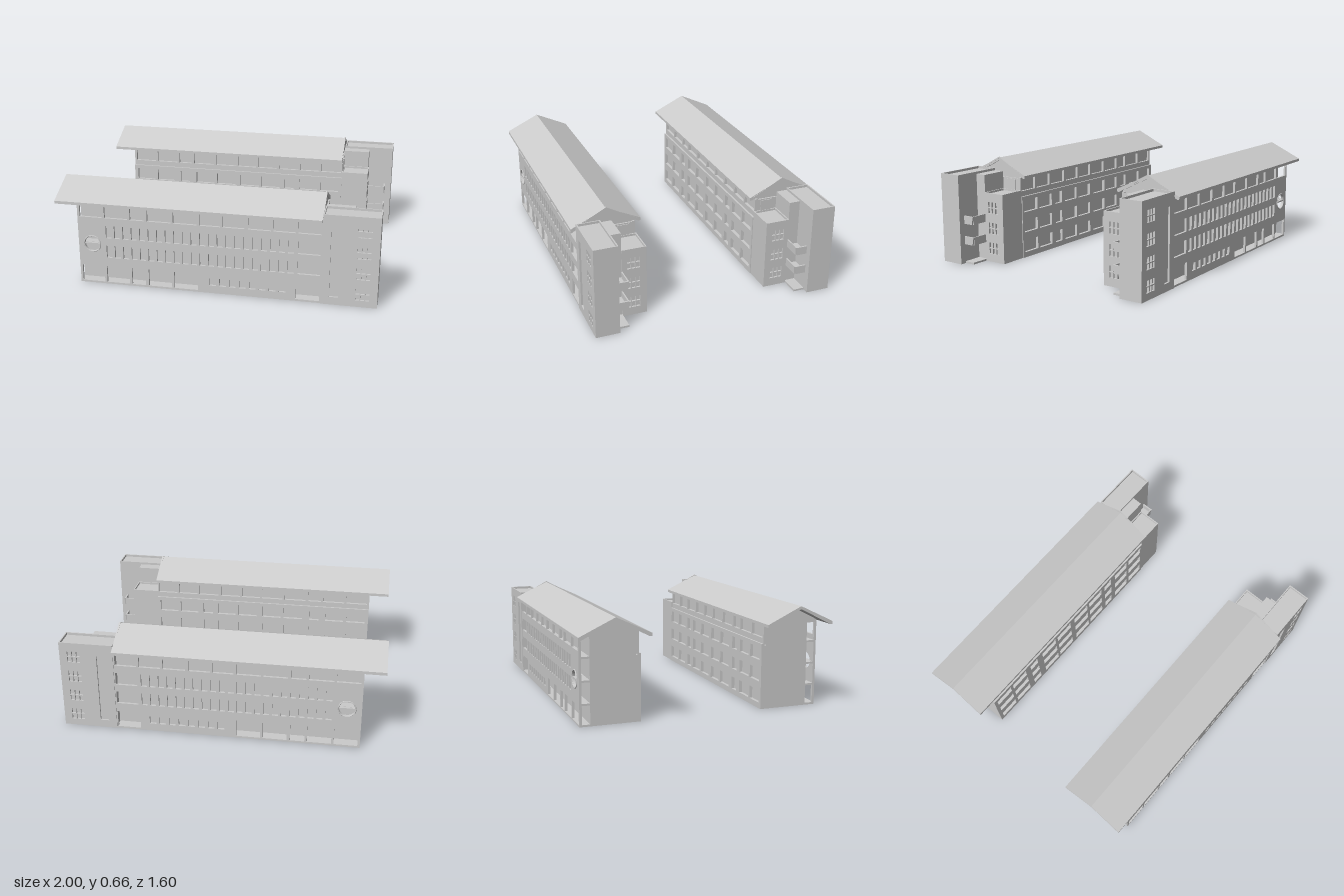
import * as THREE from 'three';

const material = new THREE.MeshStandardMaterial({ color: 0xcccccc, flatShading: true });

// Axis-aligned block given by its limits
function block(name, x0, x1, y0, y1, z0, z1) {
  const g = new THREE.BoxGeometry(x1 - x0, y1 - y0, z1 - z0);
  g.translate((x0 + x1) / 2, (y0 + y1) / 2, (z0 + z1) / 2);
  return named(name, g);
}

function named(name, geometry) {
  const mesh = new THREE.Mesh(geometry, material);
  mesh.name = name;
  return mesh;
}

function rectPath(x0, x1, y0, y1, Type = THREE.Path) {
  return new Type([[x0, y0], [x1, y0], [x1, y1], [x0, y1]].map(p => new THREE.Vector2(...p)));
}

// Wall in the xy plane between z0 and z1; holes are [x0, x1, y0, y1] or paths
function wall(name, x0, x1, y0, y1, z0, z1, holes) {
  const shape = rectPath(x0, x1, y0, y1, THREE.Shape);
  shape.holes = holes.map(h => (Array.isArray(h) ? rectPath(...h) : h));
  const g = new THREE.ExtrudeGeometry(shape, { depth: z1 - z0, bevelEnabled: false, curveSegments: 16 });
  g.translate(0, 0, z0);
  return named(name, g);
}

// Profile of [z, y] points extruded along x
function prism(name, points, x0, x1) {
  const shape = new THREE.Shape(points.map(([z, y]) => new THREE.Vector2(-z, y)));
  const g = new THREE.ExtrudeGeometry(shape, { depth: x1 - x0, bevelEnabled: false });
  g.rotateY(Math.PI / 2);
  g.translate(x0, 0, 0);
  return named(name, g);
}

// Six small panes, three wide and two high, around a centre
function panes(cx, cy) {
  const out = [];
  for (let i = -1; i <= 1; i++) {
    for (const j of [-1, 1]) {
      const x = cx + i * 0.029, y = cy + j * 0.02;
      out.push([x - 0.012, x + 0.012, y - 0.017, y + 0.017]);
    }
  }
  return out;
}

// Half-disc opening; s = 1 upper, s = -1 lower
function halfDisc(cx, cy, r, s) {
  const pts = [];
  for (let i = 0; i <= 16; i++) {
    const a = (Math.PI * (0.03 + 0.94 * i / 16)) * s;
    pts.push(new THREE.Vector2(cx + r * Math.cos(a), cy + r * Math.sin(a)));
  }
  return new THREE.Path(pts);
}

// Low parapet around a flat roof
function parapet(name, x0, x1, z0, z1, y0, y1) {
  const t = 0.008, group = new THREE.Group();
  group.name = name;
  group.add(
    block('parapetSide', x0, x1, y0, y1, z0, z0 + t), block('parapetSide', x0, x1, y0, y1, z1 - t, z1),
    block('parapetEnd', x0, x0 + t, y0, y1, z0 + t, z1 - t), block('parapetEnd', x1 - t, x1, y0, y1, z0 + t, z1 - t));
  return group;
}

function createBuilding() {
  const b = new THREE.Group();
  b.name = 'building';
  const L = -0.87, R = 0.66;

  // Rooms and the open gallery floors in front of them
  b.add(block('roomCore', L, R, 0, 0.4, 0.41, 0.7));
  b.add(block('topStoreyCore', L, R, 0.4, 0.53, 0.42, 0.7));
  [[0, 0.012], [0.125, 0.137], [0.262, 0.274], [0.4, 0.412], [0.525, 0.535]].forEach(([y0, y1]) =>
    b.add(block('gallerySlab', L, R, y0, y1, 0.7, 0.75)));

  // Street facade with its rows of openings
  const bays = [[-0.855, -0.71], [-0.695, -0.545], [-0.53, -0.44], [-0.42, -0.27], [-0.255, -0.105],
    [-0.09, 0.04], [0.055, 0.19], [0.21, 0.35], [0.365, 0.5], [0.515, 0.652]];
  const topBays = bays.map(([a, c]) => [a, c, 0.445, 0.525]);
  const street = [...topBays, ...bays.slice(0, 5).map(([a, c]) => [a, c, 0.012, 0.122]),
    [0.505, 0.652, 0.012, 0.122]];
  for (const [y0, y1] of [[0.18, 0.262], [0.312, 0.395]]) {
    for (let i = 0; i < 22; i++) {
      const x = -0.69 + i * 0.0545;
      street.push([x, x + 0.037, y0, y1]);
    }
    street.push([0.515, 0.652, y0, y1]);
  }
  for (let i = 0; i < 8; i++) street.push([-0.03 + i * 0.062, 0.012 + i * 0.062, 0.05, 0.1]);
  street.push(halfDisc(-0.78, 0.268, 0.05, 1), halfDisc(-0.78, 0.268, 0.05, -1));
  b.add(wall('streetFacade', L, R, 0, 0.535, 0.75, 0.765, street));
  const rim = new THREE.TorusGeometry(0.053, 0.004, 6, 32);
  rim.translate(-0.78, 0.268, 0.766);
  b.add(named('roundWindowRim', rim));

  // Courtyard facade: pairs of wide windows with narrow ones between
  const court = [];
  const columns = [[-0.845, -0.715], [-0.695, -0.565], [-0.52, -0.45], [-0.4, -0.265], [-0.245, -0.11],
    [-0.07, 0.065], [0.085, 0.215], [0.25, 0.32], [0.36, 0.49], [0.51, 0.64]];
  for (const y of [0.035, 0.17, 0.305]) for (const [a, c] of columns) court.push([a, c, y, y + 0.08]);
  b.add(wall('courtyardFacade', L, R, 0, 0.41, 0.39, 0.41, court));
  b.add(wall('courtyardTopStorey', L, R, 0.41, 0.535, 0.402, 0.42, topBays));

  // Pitched roof, attic and raised verge
  const mid = 0.5825;
  b.add(prism('roof', [[0.365, 0.532], [0.365, 0.55], [mid, 0.652], [0.8, 0.55], [0.8, 0.532],
    [0.785, 0.532], [mid, 0.634], [0.38, 0.532]], -1, R));
  b.add(prism('attic', [[0.402, 0.53], [0.402, 0.546], [mid, 0.636], [0.763, 0.546], [0.763, 0.53]], L, 0.65));
  b.add(prism('roofVerge', [[0.39, 0.555], [mid, 0.657], [0.775, 0.555], [0.775, 0.545],
    [mid, 0.645], [0.39, 0.545]], 0.652, 0.662));

  // Tall end tower with slot and small windows on the street side
  const towerHoles = [[0.71, 0.765, 0.05, 0.5]];
  for (const y of [0.08, 0.215, 0.35, 0.485]) towerHoles.push(...panes(0.91, y));
  b.add(block('tower', R, 1, 0, 0.565, 0.62, 0.758));
  b.add(wall('towerFace', R, 1, 0, 0.565, 0.758, 0.77, towerHoles));
  b.add(parapet('towerParapet', R, 1, 0.62, 0.77, 0.565, 0.58));

  // Lower stair block with windows on its end
  b.add(block('stairBlock', R, 0.83, 0, 0.44, 0.395, 0.55));
  const face = wall('stairBlockFace', -0.55, -0.395, 0, 0.44, 0.83, 0.842,
    [0.09, 0.222, 0.357].flatMap(y => panes(-0.478, y)));
  face.geometry.rotateY(Math.PI / 2);
  b.add(face);
  b.add(parapet('stairBlockParapet', R, 0.842, 0.395, 0.55, 0.44, 0.453));
  b.add(block('roofDoor', R, 0.665, 0.44, 0.522, 0.44, 0.515));

  // Connector with flared balconies between tower and stair block
  b.add(block('connector', R, 0.835, 0, 0.565, 0.55, 0.62));
  b.add(block('entranceStep', 0.835, 0.96, 0, 0.012, 0.55, 0.62));
  for (const y of [0.125, 0.26]) {
    b.add(block('balconyFloor', 0.835, 0.95, y, y + 0.012, 0.55, 0.62));
    const shape = [[0.555, y], [0.545, y + 0.052], [0.62, y + 0.052], [0.62, y]];
    b.add(prism('balconyFront', shape, 0.95, 0.96));
    b.add(block('balconySide', 0.842, 0.95, y, y + 0.052, 0.547, 0.555));
  }
  return b;
}

// Copy reflected in z with the winding restored
function mirrored(source) {
  const copy = source.clone(true);
  copy.traverse(o => {
    if (!o.isMesh) return;
    const g = o.geometry.index ? o.geometry.toNonIndexed() : o.geometry.clone();
    const p = g.attributes.position, v = [0, 1, 2].map(() => new THREE.Vector3());
    for (let i = 0; i < p.count; i += 3) {
      v.forEach((w, k) => w.fromBufferAttribute(p, i + k));
      [v[0], v[2], v[1]].forEach((w, k) => p.setXYZ(i + k, w.x, w.y, -w.z));
    }
    g.computeVertexNormals();
    o.geometry = g;
  });
  return copy;
}

export function createModel() {
  const model = new THREE.Group();
  model.name = 'twinBuildings';
  const front = createBuilding();
  front.name = 'frontBuilding';
  const back = mirrored(front);
  back.name = 'backBuilding';
  model.add(front, back);
  return model;
}
